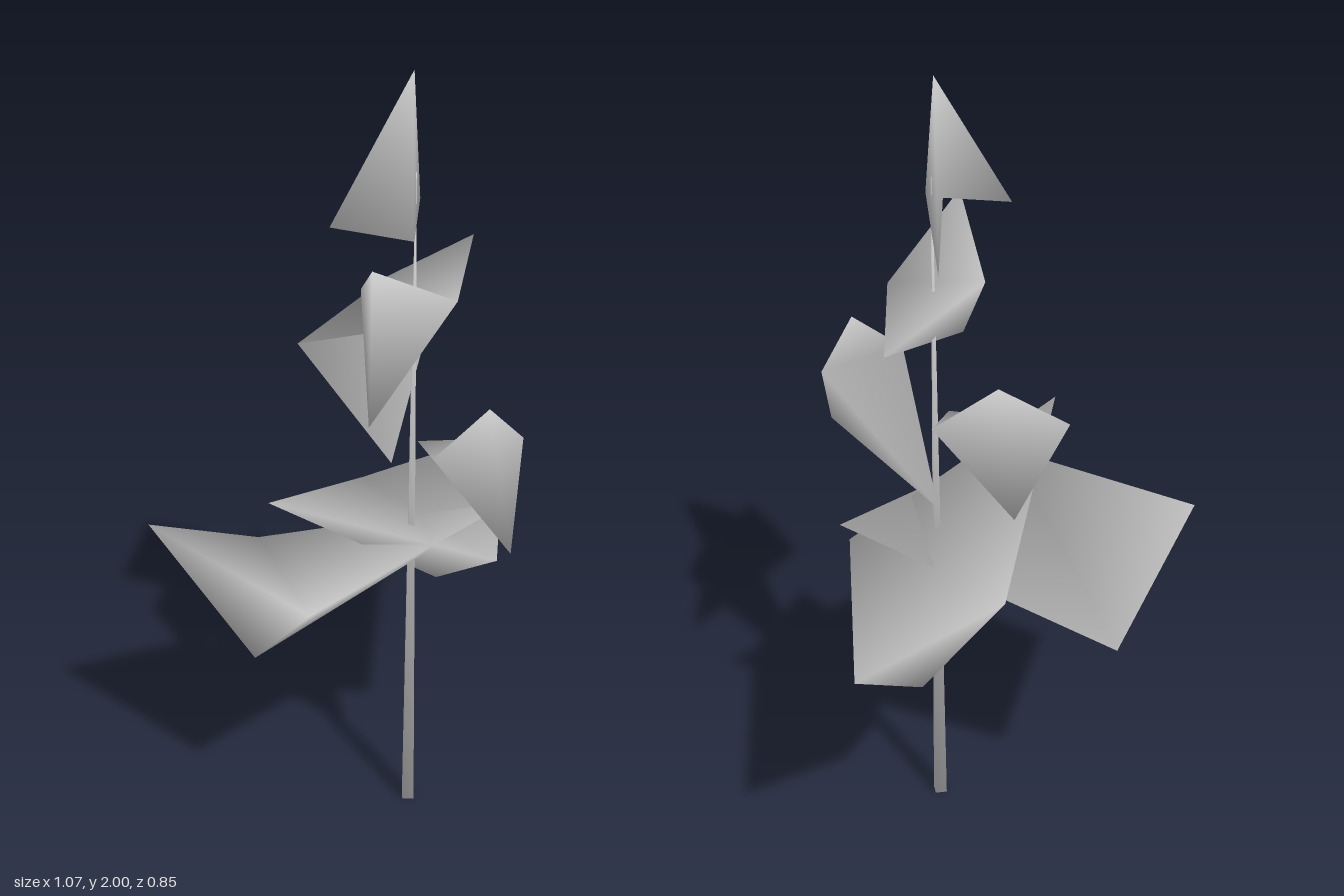
import * as THREE from 'three';
import { mergeVertices } from 'three/addons/utils/BufferGeometryUtils.js';

const material = new THREE.MeshStandardMaterial({ color: 0xcccccc });

// Smooth normals over every edge, each face weighted by its angle at the corner
function smooth(geometry) {
  const position = geometry.attributes.position;
  const index = geometry.index.array;
  const normals = Array.from({ length: position.count }, () => new THREE.Vector3());
  const point = (i) => new THREE.Vector3().fromBufferAttribute(position, i);
  for (let f = 0; f < index.length; f += 3) {
    for (let k = 0; k < 3; k++) {
      const corner = index[f + k];
      const a = point(index[f + ((k + 1) % 3)]).sub(point(corner));
      const b = point(index[f + ((k + 2) % 3)]).sub(point(corner));
      normals[corner].addScaledVector(a.clone().cross(b).normalize(), a.angleTo(b));
    }
  }
  const values = normals.flatMap((n) => n.normalize().toArray());
  geometry.setAttribute('normal', new THREE.Float32BufferAttribute(values, 3));
  return geometry;
}

// A solid leaf: four rim corners, a keel point below and a lid creased between the sides
function leaf(name, keel, rim) {
  const geometry = new THREE.BufferGeometry();
  geometry.setAttribute('position', new THREE.Float32BufferAttribute([keel, ...rim].flat(), 3));
  geometry.setIndex([0, 1, 2, 0, 2, 3, 0, 3, 4, 0, 4, 1, 2, 1, 4, 4, 3, 2]);
  const mesh = new THREE.Mesh(smooth(geometry), material);
  mesh.name = name;
  return mesh;
}

// Each leaf: keel point, then rim as tip, side, outer corner, other side
const LEAVES = [
  ['crownLeaf', [0.06, 2, 0.01],
    [[0.163, 1.615, -0.175], [0.055, 1.72, -0.02], [-0.145, 1.655, 0], [-0.005, 1.655, 0.155]]],
  ['upperLeaf', [-0.135, 1.235, 0.195],
    [[0.328, 1.48, -0.215], [0.125, 1.47, 0.115], [-0.125, 1.62, 0.195], [-0.06, 1.48, -0.02]]],
  ['backLeaf', [0.06, 1.035, -0.335],
    [[-0.04, 1.08, 0.11], [-0.107, 1.225, -0.31], [0.065, 1.35, -0.27], [0.205, 1.26, -0.21]]],
  ['frontLeaf', [0.122, 0.96, 0.42],
    [[0.14, 0.985, -0.13], [0.215, 1.18, 0.29], [0.11, 1.29, 0.32], [-0.022, 1.18, 0.3]]],
  ['lowerLeftLeaf', [0.225, 0.53, -0.19],
    [[-0.348, 1.035, 0.095], [0.075, 0.8, -0.324], [0.53, 0.8, -0.405], [0.225, 0.77, 0.155]]],
  ['lowerRightLeaf', [-0.315, 0.46, -0.125],
    [[0.295, 0.88, 0.075], [-0.315, 0.81, 0.26], [-0.535, 0.835, -0.257], [-0.185, 0.625, -0.425]]],
];

export function createModel() {
  const group = new THREE.Group();
  group.name = 'tree';

  // Slender four-sided trunk, tapering and leaning very slightly
  const height = 1.76;
  const shaft = new THREE.CylinderGeometry(0.002, 0.021, height, 4);
  shaft.deleteAttribute('normal');
  shaft.deleteAttribute('uv');
  shaft.translate(0, height / 2, 0);
  const trunk = new THREE.Mesh(smooth(mergeVertices(shaft)), material);
  trunk.name = 'trunk';
  trunk.position.set(0.056, 0, 0.005);
  trunk.rotation.set(0.007, 0.4, -0.005);
  group.add(trunk);

  for (const [name, keel, rim] of LEAVES) group.add(leaf(name, keel, rim));
  return group;
}
